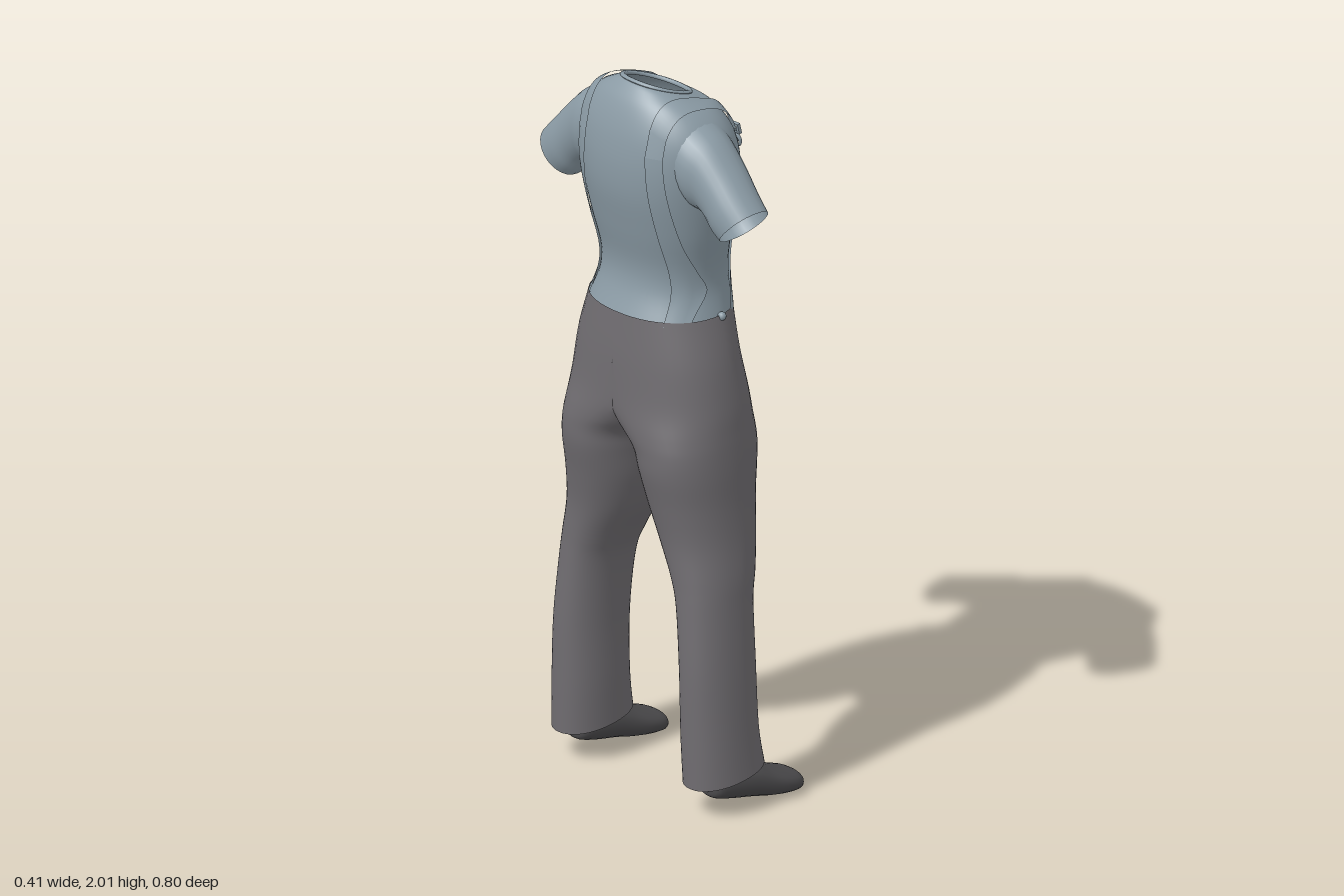
import * as THREE from 'three';

const shirt = new THREE.MeshStandardMaterial({ color: 0x8b9ba5, side: THREE.DoubleSide });
const trousers = new THREE.MeshStandardMaterial({ color: 0x706d71, side: THREE.DoubleSide });
const leather = new THREE.MeshStandardMaterial({ color: 0x4b4a4c, side: THREE.DoubleSide });
shirt.name = 'blue grey cloth';
trousers.name = 'warm grey cloth';
leather.name = 'dark leather';

// Smooth lookup in a table of cross-sections, t from 0 to 1
function section(table, t) {
  const f = Math.min(Math.max(t, 0), 1) * (table.length - 1);
  const i = Math.min(Math.floor(f), table.length - 2), u = f - i;
  const row = (k) => table[Math.min(Math.max(k, 0), table.length - 1)];
  return table[0].map((_, c) => {
    const a = row(i - 1)[c], b = row(i)[c], d = row(i + 1)[c], e = row(i + 2)[c];
    return b + 0.5 * u * (d - a + u * (2 * a - 5 * b + 4 * d - e + u * (3 * (b - d) + e - a)));
  });
}

// Surface over a grid; point(u, v) returns [x, y, z]. Closed grids wrap in u.
function surface(name, material, point, nu, nv, closed = true, dropMidplane = false) {
  const pos = [], index = [], cols = closed ? nu : nu + 1;
  for (let j = 0; j <= nv; j++)
    for (let i = 0; i < cols; i++) pos.push(...point(i / nu, j / nv));
  for (let j = 0; j < nv; j++)
    for (let i = 0; i < nu; i++) {
      const k = (i + 1) % cols;
      const a = j * cols + i, b = j * cols + k, c = a + cols, d = b + cols;
      if (dropMidplane && [a, b, c, d].every((n) => Math.abs(pos[n * 3 + 2]) < 1e-4)) continue;
      index.push(a, c, b, b, c, d);
    }
  const geo = new THREE.BufferGeometry();
  geo.setAttribute('position', new THREE.Float32BufferAttribute(pos, 3));
  geo.setIndex(index);
  geo.computeVertexNormals();
  const mesh = new THREE.Mesh(geo, material);
  mesh.name = name;
  return mesh;
}

const bend = (v, p) => Math.sign(v) * Math.abs(v) ** p;
const lerp = THREE.MathUtils.lerp;

// Torso sections: y, back x, front x, half width, forward drop
const TORSO = [
  [1.972, -0.125, 0.035, 0.09, 0.028], [1.963, -0.14, 0.05, 0.12, 0.026],
  [1.94, -0.165, 0.075, 0.17, 0.015], [1.9, -0.185, 0.1, 0.21, 0.006],
  [1.85, -0.198, 0.122, 0.232, 0], [1.78, -0.204, 0.141, 0.234, 0],
  [1.7, -0.199, 0.143, 0.224, 0], [1.6, -0.178, 0.128, 0.207, 0],
  [1.5, -0.155, 0.123, 0.186, 0], [1.43, -0.158, 0.127, 0.184, 0],
  [1.355, -0.186, 0.127, 0.203, 0],
];
function torsoPoint(v, a, lift = 0) {
  const [y, xb, xf, zh, drop] = section(TORSO, v);
  const c = bend(Math.cos(a), 0.9), s = bend(Math.sin(a), 0.9);
  return [(xb + xf) / 2 + ((xf - xb) / 2 + lift) * c, y - drop * c + (v < 0.4 ? lift : 0), (zh + lift) * s];
}
// Angle on the torso front at which the surface reaches a given z
const angleAt = (v, z) => Math.asin(Math.min(1, (z / section(TORSO, v)[3]) ** (1 / 0.9)));

// Sleeve sections: top z, top y, bottom z, bottom y, back x, front x
const SLEEVE = [
  [0.15, 1.94, 0.16, 1.72, -0.15, 0.05], [0.21, 1.91, 0.2, 1.69, -0.145, 0.04],
  [0.255, 1.88, 0.228, 1.685, -0.135, 0.03], [0.31, 1.825, 0.25, 1.67, -0.13, 0.025],
  [0.36, 1.772, 0.275, 1.64, -0.128, 0.02], [0.4, 1.73, 0.298, 1.622, -0.123, 0.018],
];
// Trouser leg sections: y, back x, front x, outer z, centre z, inner z, hem tilt
const LEG = [
  [1.367, -0.19, 0.131, 0.207, 0, -0.2, 0], [1.25, -0.2, 0.131, 0.245, 0, -0.24, 0],
  [1.13, -0.203, 0.144, 0.267, 0.035, -0.2, 0], [1.05, -0.206, 0.142, 0.274, 0.1, -0.07, 0],
  [1.0, -0.205, 0.139, 0.277, 0.135, -0.002, 0], [0.94, -0.2, 0.133, 0.279, 0.147, 0.018, 0],
  [0.85, -0.18, 0.12, 0.28, 0.16, 0.036, 0], [0.75, -0.162, 0.108, 0.287, 0.18, 0.07, 0],
  [0.65, -0.157, 0.085, 0.3, 0.21, 0.122, 0], [0.57, -0.158, 0.067, 0.307, 0.226, 0.15, 0],
  [0.4, -0.163, 0.06, 0.322, 0.245, 0.166, 0], [0.22, -0.161, 0.063, 0.333, 0.25, 0.168, 0],
  [0.1, -0.157, 0.078, 0.34, 0.255, 0.171, 0.018],
];
// Shoe sections: x, bottom y, top y, centre z, half width
const SHOE = [
  [-0.102, 0.06, 0.085, 0.262, 0.005], [-0.095, 0.045, 0.11, 0.262, 0.042],
  [-0.05, 0.032, 0.128, 0.262, 0.056], [0.02, 0.02, 0.118, 0.264, 0.066],
  [0.08, 0.008, 0.09, 0.264, 0.073], [0.14, 0.002, 0.066, 0.264, 0.074],
  [0.185, 0.001, 0.05, 0.263, 0.056], [0.207, 0.014, 0.026, 0.263, 0.003],
];

// Height parameter on the upper torso where angle a reaches z
function shoulderRow(a, z) {
  let lo = 0, hi = 0.45;
  for (let i = 0; i < 24; i++) {
    const mid = (lo + hi) / 2;
    if (torsoPoint(mid, a)[2] < z) lo = mid; else hi = mid;
  }
  return lo;
}

function buckle(side) {
  const group = new THREE.Group();
  group.name = 'strapBuckle';
  const add = (geo, y, z) => {
    const mesh = new THREE.Mesh(geo, shirt);
    mesh.position.set(0, y, z);
    group.add(mesh);
    return mesh;
  };
  add(new THREE.TorusGeometry(0.019, 0.005, 6, 16), -0.022, 0).rotation.y = Math.PI / 2;
  add(new THREE.SphereGeometry(0.011, 10, 8), -0.022, 0);
  for (const y of [0.006, 0.028]) add(new THREE.BoxGeometry(0.009, 0.008, 0.056), y, 0);
  for (const z of [-0.024, 0.024]) add(new THREE.BoxGeometry(0.009, 0.03, 0.008), 0.017, z);
  const p = torsoPoint(0.43, angleAt(0.43, 0.115), 0.008);
  group.position.set(p[0], 1.825, side * p[2]);
  group.rotation.z = 0.25;
  return group;
}

export function createModel() {
  const model = new THREE.Group();
  const TAU = Math.PI * 2;

  // Shirt body, open at the neck
  model.add(surface('shirtBody', shirt, (u, v) => torsoPoint(v, u * TAU), 48, 50));
  // Rolled neckline
  model.add(surface('collar', shirt, (u, v) => {
    const p = torsoPoint(0, u * TAU, 0.007 * Math.cos(v * TAU));
    p[1] = torsoPoint(0, u * TAU)[1] + 0.006 * Math.sin(v * TAU);
    return p;
  }, 40, 8));
  // Bib, a thin layer on the chest
  const BIB = [[0.125], [0.157], [0.162], [0.15], [0.148], [0.165], [0.19]];
  model.add(surface('bib', shirt, (u, v) => {
    const row = lerp(0.48, 1, v);
    const edge = angleAt(row, section(BIB, v)[0]);
    return torsoPoint(row, (u * 2 - 1) * edge, 0.005);
  }, 28, 28, false));

  for (const side of [1, -1]) {
    const flip = ([x, y, z]) => [x, y, z * side];

    // Short sleeve
    model.add(surface('sleeve', shirt, (u, v) => {
      const [zt, yt, zb, yb, xb, xf] = section(SLEEVE, v);
      const c = Math.cos(u * TAU), s = bend(Math.sin(u * TAU), 0.9);
      return flip([(xb + xf) / 2 + s * (xf - xb) / 2, (yt + yb) / 2 + c * (yt - yb) / 2,
        (zt + zb) / 2 + c * (zt - zb) / 2]);
    }, 28, 20));

    // Strap over the shoulder, then down the back to the hip
    model.add(surface('shoulderStrap', shirt, (u, v) => {
      const z = lerp(0.112, 0.158, u) + 0.008 * Math.sin(v * Math.PI);
      const a0 = angleAt(0.42, z);
      const a = lerp(a0, Math.PI - a0, v);
      return flip(torsoPoint(shoulderRow(a, z), a, 0.006));
    }, 4, 36, false));
    model.add(surface('backStrap', shirt, (u, v) => {
      const row = lerp(0.42, 1, v);
      const z = lerp(0.112, 0.158, u) + 0.03 * v;
      return flip(torsoPoint(row, Math.PI - angleAt(row, z), 0.005));
    }, 4, 20, false));
    model.add(buckle(side));

    // Side button at the waist
    const button = new THREE.Mesh(new THREE.SphereGeometry(0.012, 10, 8), shirt);
    button.name = 'sideButton';
    button.position.set(0, 1.362, side * 0.205);
    model.add(button);

    // Trouser leg with half of the hips
    model.add(surface('trouserLeg', trousers, (u, v) => {
      const [y, xb, xf, zo, zc, zi, tilt] = section(LEG, v);
      const c = bend(Math.cos(u * TAU), 0.92), s = bend(Math.sin(u * TAU), 0.92);
      const z = zc + c * (c > 0 ? zo - zc : zc - zi);
      return flip([(xb + xf) / 2 + s * (xf - xb) / 2, y + tilt * s, Math.max(0, z)]);
    }, 48, 60, true, true));

    // Shoe
    model.add(surface('shoe', leather, (u, v) => {
      const [x, yb, yt, zc, zh] = section(SHOE, v);
      const c = bend(Math.cos(u * TAU), 0.85), s = bend(Math.sin(u * TAU), 0.85);
      return flip([x, Math.max(0, (yb + yt) / 2 + s * (yt - yb) / 2), zc + c * zh]);
    }, 24, 28));
  }
  return model;
}
